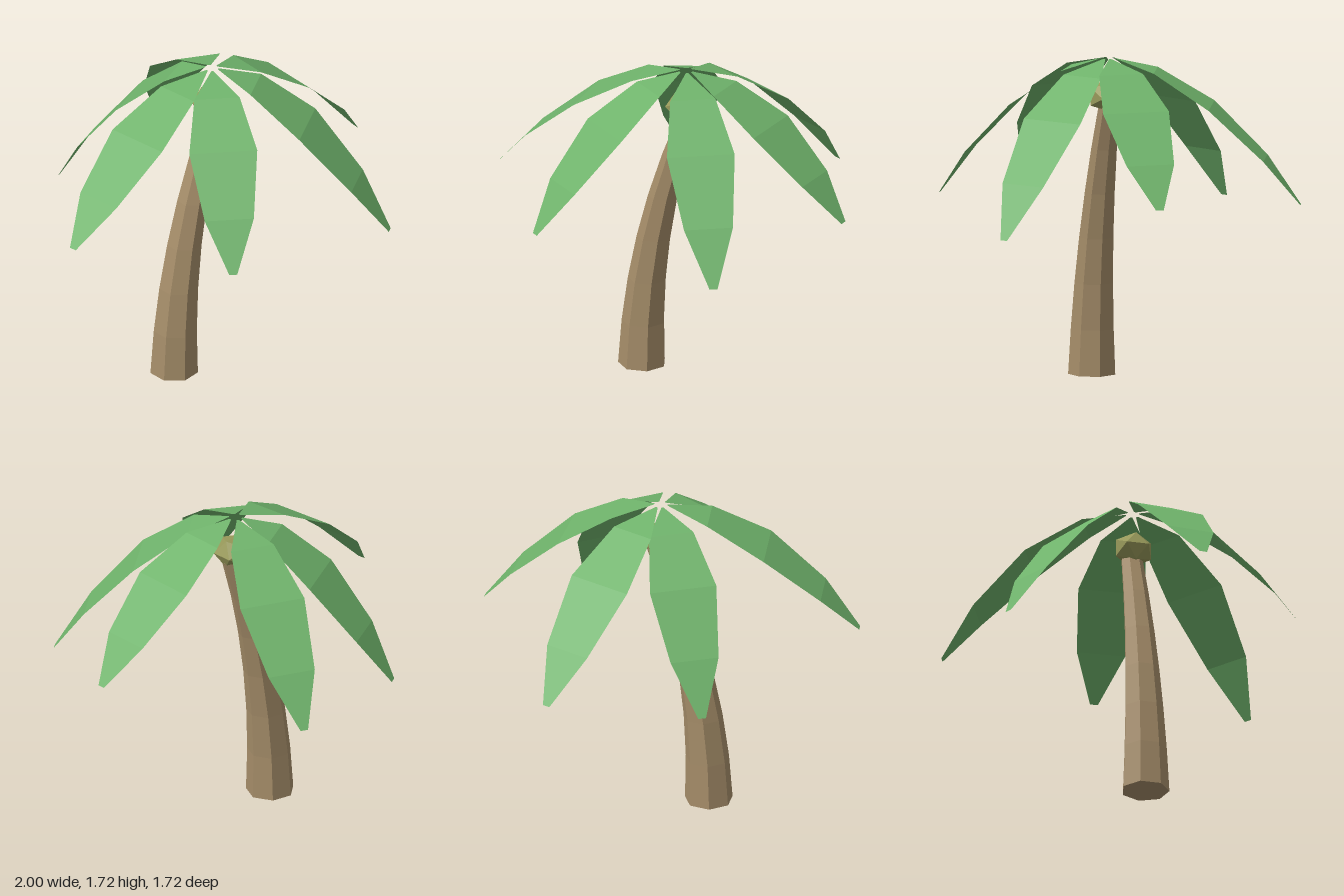
import * as THREE from 'three';

const bark = new THREE.MeshStandardMaterial({ color: 0xa58d69, flatShading: true });
const olive = new THREE.MeshStandardMaterial({ color: 0x98995a, flatShading: true });
const green = new THREE.MeshStandardMaterial({ color: 0x6fb36b, flatShading: true, side: THREE.DoubleSide });

const CROWN = { x: 0.045, y: 1.715, z: 0.07 };

// Tapered seven-sided trunk, leaning further the higher it gets
function makeTrunk() {
  const height = 1.47;
  const geo = new THREE.CylinderGeometry(0.058, 0.128, height, 7, 6, false, Math.PI / 2);
  geo.translate(0, height / 2, 0);
  const p = geo.attributes.position;
  for (let i = 0; i < p.count; i++) {
    const y = p.getY(i);
    p.setX(i, p.getX(i) - 0.213 + 0.13 * y * y);
  }
  geo.translate(0, 0, CROWN.z);
  geo.computeVertexNormals();
  const trunk = new THREE.Mesh(geo, bark);
  trunk.name = 'trunk';
  return trunk;
}

// Flat drooping blade: cross-sections as [reach share, drop share, width]
const SECTIONS = [
  [0, 0, 0.012],
  [0.22, 0.08, 0.24],
  [0.52, 0.32, 0.36],
  [0.81, 0.68, 0.26],
  [1, 1, 0.042],
];

function makeFrond(tipX, tipY, tipZ) {
  const dir = new THREE.Vector2(tipX - CROWN.x, tipZ - CROWN.z);
  const reach = dir.length() - 0.035;
  dir.normalize();
  const points = [], index = [];
  SECTIONS.forEach(([along, drop, width], i) => {
    const r = 0.035 + reach * along;
    const y = CROWN.y - (CROWN.y - tipY) * drop;
    for (const s of [-0.5, 0.5]) {
      points.push(
        CROWN.x + dir.x * r - dir.y * width * s,
        y,
        CROWN.z + dir.y * r + dir.x * width * s
      );
    }
    if (i > 0) {
      const a = 2 * i - 2;
      index.push(a, a + 1, a + 2, a + 1, a + 3, a + 2);
    }
  });
  const geo = new THREE.BufferGeometry();
  geo.setAttribute('position', new THREE.Float32BufferAttribute(points, 3));
  geo.setIndex(index);
  geo.computeVertexNormals();
  return new THREE.Mesh(geo, green);
}

export function createModel() {
  const model = new THREE.Group();
  model.name = 'palmTree';
  model.add(makeTrunk());

  // Faceted bud where the trunk ends
  const bud = new THREE.Mesh(new THREE.IcosahedronGeometry(0.112, 0), olive);
  bud.name = 'crownBud';
  bud.scale.y = 0.8;
  bud.position.set(0.05, 1.515, 0.075);
  model.add(bud);

  // Six fronds, each given by its tip
  const tips = {
    frondLeft: [1.0, 1.05, 0.11],
    frondFrontLeft: [0.615, 0.87, 0.845],
    frondFrontRight: [-0.45, 0.97, 0.835],
    frondRight: [-1.0, 1.045, 0.18],
    frondBackRight: [-0.348, 0.89, -0.708],
    frondBackLeft: [0.458, 0.95, -0.857],
  };
  for (const [name, tip] of Object.entries(tips)) {
    const frond = makeFrond(...tip);
    frond.name = name;
    model.add(frond);
  }
  return model;
}
